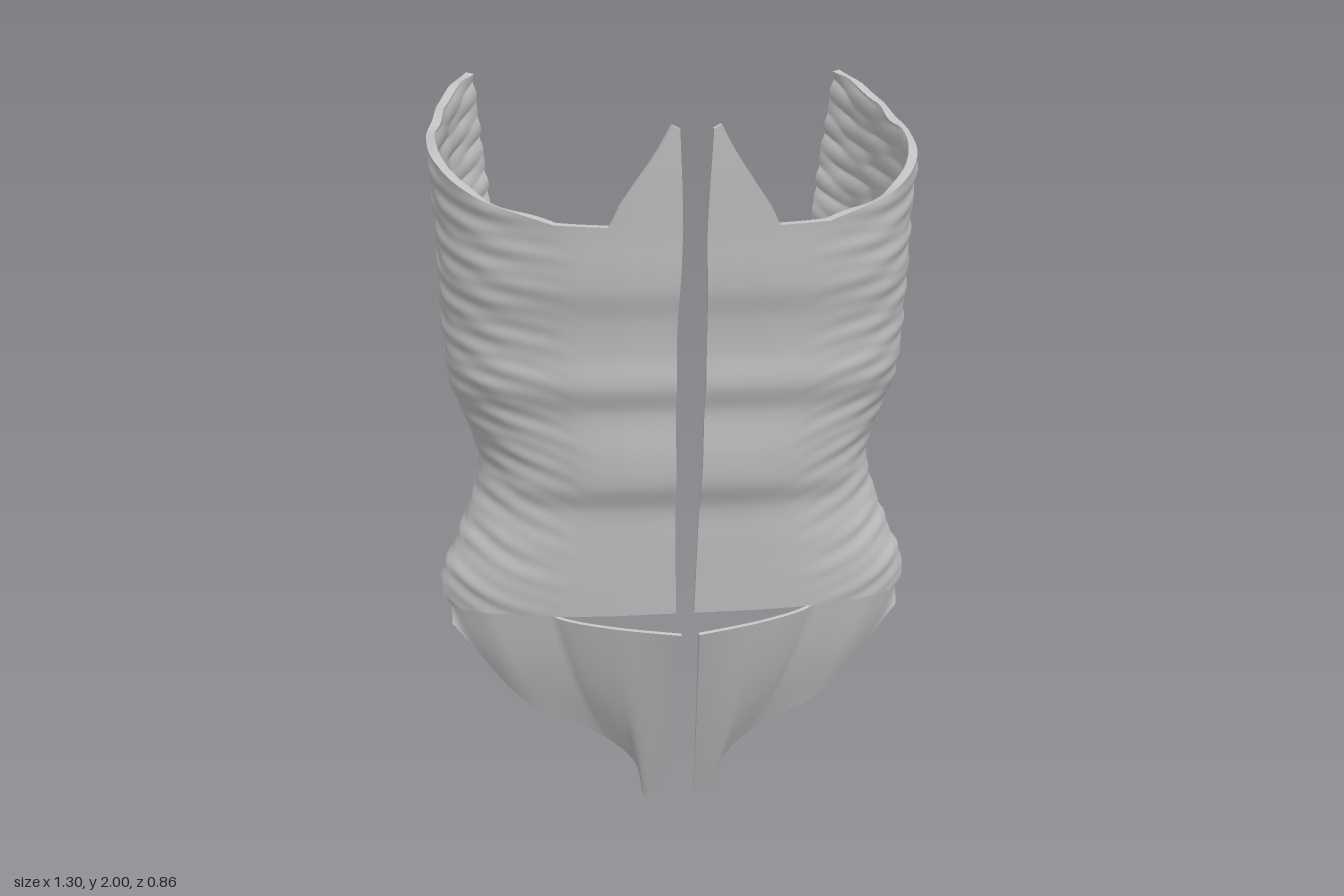
import * as THREE from 'three';

// Smooth curve through [t, value] keys, held at the ends
function curve(keys) {
  const n = keys.length;
  const slope = (i) => {
    const a = keys[Math.max(i - 1, 0)], b = keys[Math.min(i + 1, n - 1)];
    return (b[1] - a[1]) / (b[0] - a[0]);
  };
  return (t) => {
    if (t <= keys[0][0]) return keys[0][1];
    if (t >= keys[n - 1][0]) return keys[n - 1][1];
    let i = 0;
    while (t > keys[i + 1][0]) i++;
    const h = keys[i + 1][0] - keys[i][0], s = (t - keys[i][0]) / h, s2 = s * s, s3 = s2 * s;
    return keys[i][1] * (2 * s3 - 3 * s2 + 1) + keys[i + 1][1] * (3 * s2 - 2 * s3)
      + h * (slope(i) * (s3 - 2 * s2 + s) + slope(i + 1) * (s3 - s2));
  };
}

// Straight-line version, for ragged borders
function polyline(keys) {
  return (t) => {
    let i = 0;
    while (i < keys.length - 2 && t > keys[i + 1][0]) i++;
    const [a, b] = [keys[i], keys[i + 1]];
    return THREE.MathUtils.lerp(a[1], b[1], THREE.MathUtils.clamp((t - a[0]) / (b[0] - a[0]), 0, 1));
  };
}

// Body measurements by height
const halfWidth = curve([[0.5, 0.62], [0.66, 0.642], [0.77, 0.6], [0.9, 0.55], [1.0, 0.53], [1.1, 0.56],
  [1.22, 0.605], [1.4, 0.622], [1.65, 0.632], [1.83, 0.645], [2, 0.635]]);
const frontZ = curve([[0.6, 0.237], [0.8, 0.262], [0.9, 0.275], [0.97, 0.305], [1.05, 0.317], [1.17, 0.322],
  [1.24, 0.345], [1.33, 0.348], [1.42, 0.362], [1.5, 0.385], [1.65, 0.402], [1.78, 0.418], [1.91, 0.43]]);
const backZ = curve([[0.67, -0.43], [0.75, -0.4], [0.9, -0.38], [1.2, -0.38], [1.7, -0.4], [2, -0.36]]);
const backX = curve([[0.67, 0.29], [0.8, 0.335], [1.0, 0.365], [1.2, 0.42], [1.7, 0.49], [2, 0.53]]);
const midX = curve([[0.5, 0.022], [0.7, 0.027], [1.1, 0.036], [1.4, 0.038], [1.65, 0.031], [1.91, 0.042]]);

// Upper and lower borders of the main wall; u runs 0 (midline) to 9 (back edge)
const topY = polyline([[0, 1.9], [0.25, 1.91], [1, 1.81], [1.75, 1.71], [2, 1.66], [3, 1.665], [4, 1.72],
  [5, 1.795], [6, 1.845], [7, 1.92], [8, 1.965], [9, 2]]);
const bottomY = polyline([[0, 0.6], [5, 0.6], [5.4, 0.65], [6, 0.69], [6.5, 0.765], [7.05, 0.79], [7.1, 0.755],
  [7.8, 0.74], [8.3, 0.7], [8.5, 0.71], [9, 0.67]]);

// Horizontal section of the wall at height y
function wallPoint(u, y) {
  const W = halfWidth(y), F = frontZ(y), B = backZ(y), E = backX(y);
  const mix = (k) => W + (E - W) * k;
  const xs = [midX(y), 0.12, 0.34 * W, 0.55 * W, 0.82 * W, 0.97 * W, W, mix(0.25), mix(0.55), E];
  const zs = [F, F, 0.99 * F, 0.92 * F, 0.69 * F, 0.36 * F, 0, 0.48 * B, 0.78 * B, B];
  // fibre ripples on the flank
  const mask = THREE.MathUtils.smoothstep(u, 2.4, 4);
  const r = 1 + mask * (0.004 * Math.sin(y * 78 - u * 3.1 + Math.sin(u * 2.3))
    + 0.003 * Math.sin(y * 131 - u * 5.3 + 2 * Math.sin(u * 1.7 + y * 4)));
  const at = (a) => curve(a.map((v, i) => [i, v]))(u);
  return new THREE.Vector3(at(xs) * r, y, at(zs) * r);
}

const upperWall = (s, v) => {
  const u = 9 * s;
  return wallPoint(u, THREE.MathUtils.lerp(bottomY(u), topY(u), v));
};

// Lower flap: ruled from a forward-standing top edge to the pointed bottom border
const flapBorder = new THREE.CatmullRomCurve3([
  [0.045, 0.03, 0.105], [0.088, 0.005, 0.095], [0.125, 0.13, 0.12], [0.21, 0.21, 0.12],
  [0.41, 0.31, 0.112], [0.617, 0.55, 0.095],
].map((p) => new THREE.Vector3(...p)));

const lowerWall = (s, v) => {
  const top = wallPoint(5 * s, 0.6);
  const lift = Math.max(0, 1 - top.x / 0.35);
  top.z += 0.105 * Math.pow(lift, 0.8);
  top.y -= 0.03 * Math.pow(lift, 0.6);
  const p = flapBorder.getPoint(s).lerp(top, v);
  // keep the side rounded
  const bulge = Math.sin(Math.PI * v) * Math.sin(Math.PI * s);
  p.x += 0.012 * bulge;
  p.z += 0.012 * bulge;
  return p;
};

// Closed thin shell from a surface rule: outer skin, inner skin and rim
function shell(surface, nu, nv, thickness) {
  const outer = [], grid = [], row = nu + 1;
  for (let j = 0; j <= nv; j++)
    for (let i = 0; i <= nu; i++) outer.push(surface(i / nu, j / nv));
  for (let j = 0; j < nv; j++)
    for (let i = 0; i < nu; i++) {
      const a = j * row + i, b = a + 1, c = b + row, d = a + row;
      grid.push(a, b, c, a, c, d);
    }
  const skin = new THREE.BufferGeometry().setFromPoints(outer);
  skin.setIndex(grid);
  skin.computeVertexNormals();
  const normal = new THREE.Vector3();
  const inner = outer.map((p, k) => {
    normal.fromBufferAttribute(skin.attributes.normal, k);
    return p.clone().addScaledVector(normal, -thickness(Math.floor(k / row) / nv));
  });

  const points = [...outer, ...inner], index = [...grid], n = outer.length;
  for (let k = 0; k < grid.length; k += 3) index.push(grid[k] + n, grid[k + 2] + n, grid[k + 1] + n);

  const loop = [];
  for (let i = 0; i < nu; i++) loop.push(i);
  for (let j = 0; j < nv; j++) loop.push(j * row + nu);
  for (let i = nu; i > 0; i--) loop.push(nv * row + i);
  for (let j = nv; j > 0; j--) loop.push(j * row);
  loop.forEach((a, k) => {
    const b = loop[(k + 1) % loop.length], m = points.length;
    points.push(outer[a], inner[a], inner[b], outer[b]);
    index.push(m, m + 1, m + 2, m, m + 2, m + 3);
  });

  const geometry = new THREE.BufferGeometry().setFromPoints(points);
  geometry.setIndex(index);
  geometry.computeVertexNormals();
  return geometry;
}

// Mirror across the midline, turning the faces back outward
function mirrored(geometry) {
  const copy = geometry.clone().scale(-1, 1, 1), id = copy.index.array;
  for (let k = 0; k < id.length; k += 3) [id[k + 1], id[k + 2]] = [id[k + 2], id[k + 1]];
  copy.computeVertexNormals();
  return copy;
}

export function createModel() {
  const group = new THREE.Group();
  group.name = 'abdominalWall';
  const material = new THREE.MeshStandardMaterial({ color: 0xbfbfbf });
  material.name = 'plain grey';

  const parts = {
    UpperWall: shell(upperWall, 108, 120, (v) => 0.01 + 0.014 * v * v),
    LowerFlap: shell(lowerWall, 60, 36, () => 0.01),
  };
  for (const [name, geometry] of Object.entries(parts)) {
    const left = new THREE.Mesh(geometry, material);
    left.name = 'left' + name;
    const right = new THREE.Mesh(mirrored(geometry), material);
    right.name = 'right' + name;
    group.add(left, right);
  }
  return group;
}
